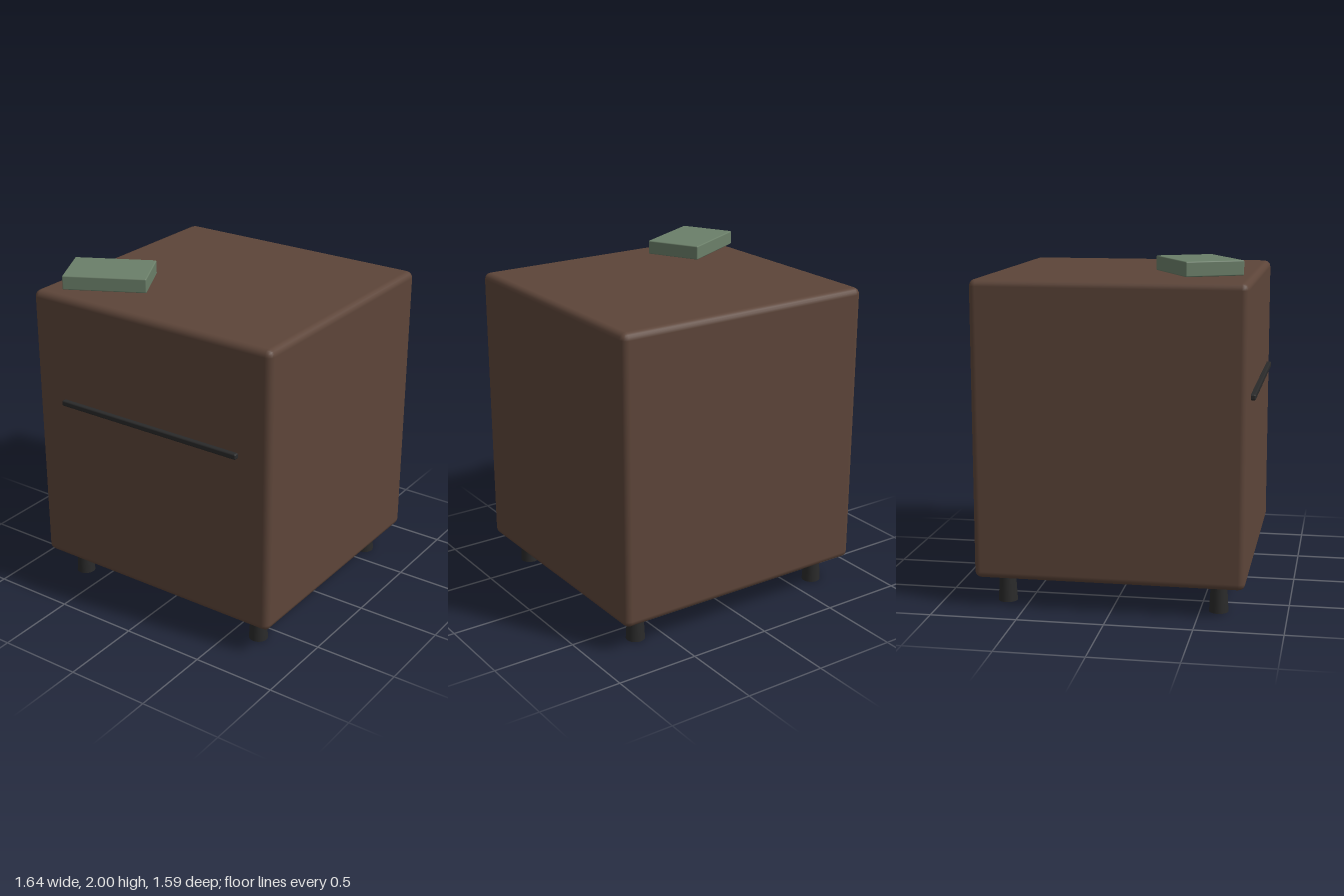
import * as THREE from 'three';
import { RoundedBoxGeometry } from 'three/addons/geometries/RoundedBoxGeometry.js';

export function createModel() {
  const model = new THREE.Group();
  model.name = 'bedsideCabinet';

  const brown = new THREE.MeshStandardMaterial({ color: 0x5d4539 });
  const black = new THREE.MeshStandardMaterial({ color: 0x2a2a2a });
  const green = new THREE.MeshStandardMaterial({ color: 0x6b7f69 });
  const bodyZ = -0.013;

  function add(name, geometry, material, x, y, z) {
    const mesh = new THREE.Mesh(geometry, material);
    mesh.name = name;
    mesh.position.set(x, y, z);
    model.add(mesh);
    return mesh;
  }

  // Cabinet body with softened edges
  add('body', new RoundedBoxGeometry(1.64, 1.72, 1.56, 2, 0.04), brown, 0, 1.03, bodyZ);

  // Long bar handle across the front
  add('handle', new RoundedBoxGeometry(1.234, 0.034, 0.034, 2, 0.009), black, 0, 1.238, 0.778);

  // Four short legs, slightly wider at the foot
  const legGeometry = new THREE.CylinderGeometry(0.046, 0.056, 0.18, 24);
  for (const [side, sx] of [['Left', 1], ['Right', -1]]) {
    for (const [end, sz] of [['front', 1], ['back', -1]]) {
      add(`${end}${side}Leg`, legGeometry, black, sx * 0.658, 0.09, bodyZ + sz * 0.62);
    }
  }

  // Book lying at an angle over the top
  const book = add('book', new RoundedBoxGeometry(0.486, 0.084, 0.342, 2, 0.007), green, -0.495, 1.958, 0.458);
  book.rotation.y = 0.485;

  return model;
}
